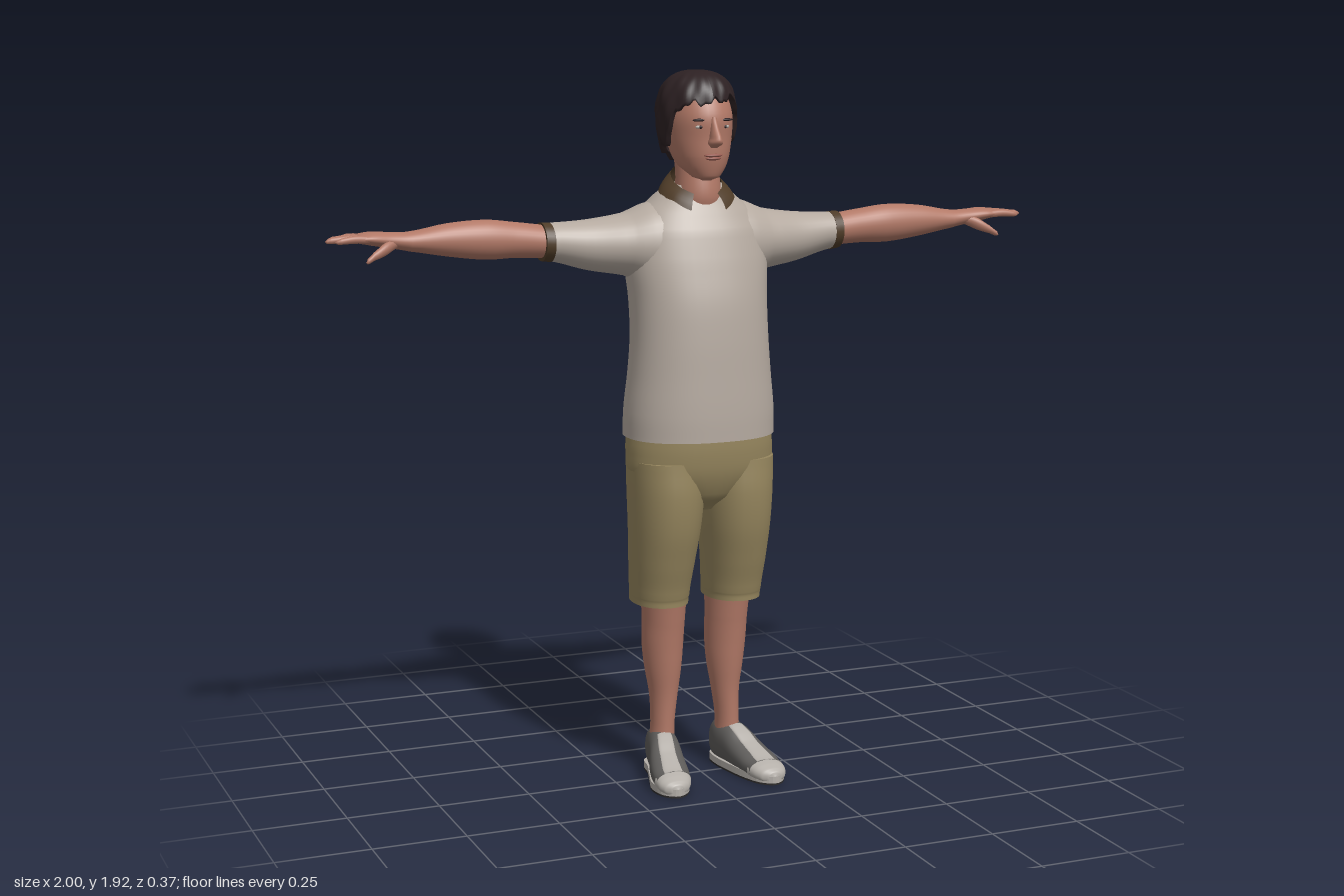
import * as THREE from 'three';

const mat = (name, color, side = THREE.FrontSide) => {
  const m = new THREE.MeshStandardMaterial({ color, side });
  m.name = name;
  return m;
};

// Smooth tube through rows [t, centreA, centreB, radiusA, radiusB] along an axis, with flat caps.
// Axis y: A = x, B = z.  Axis x: A = y, B = z.  Axis z: A = x, B = y.  Rows ascend in t.
function loft(axis, rows, power = 2, seg = 32, sub = 5) {
  const rings = [];
  const at = i => rows[Math.max(0, Math.min(rows.length - 1, i))];
  for (let i = 0; i < rows.length - 1; i++) {
    const last = i === rows.length - 2;
    for (let k = 0; k < sub + (last ? 1 : 0); k++) {
      const t = k / sub;
      rings.push(at(i).map((p1, c) => {
        const p0 = at(i - 1)[c], p2 = at(i + 1)[c], p3 = at(i + 2)[c];
        if (c === 0) return p1 + (p2 - p1) * t;
        return p1 + 0.5 * t * (p2 - p0 + t * (2 * p0 - 5 * p1 + 4 * p2 - p3 + t * (3 * (p1 - p2) + p3 - p0)));
      }));
    }
  }
  const pos = [], idx = [];
  const put = (t, a, b) => pos.push(...(axis === 'y' ? [a, t, b] : axis === 'x' ? [t, a, b] : [a, b, t]));
  const flip = axis === 'y' ? 1 : -1;
  const bend = v => Math.sign(v) * Math.abs(v) ** (2 / power);
  const ring = ([t, ca, cb, ra, rb]) => {
    for (let j = 0; j < seg; j++) {
      const q = j / seg * Math.PI * 2;
      put(t, ca + Math.max(ra, 0.001) * bend(Math.cos(q)), cb + flip * Math.max(rb, 0.001) * bend(Math.sin(q)));
    }
  };
  rings.forEach(ring);
  for (let i = 0; i < rings.length - 1; i++) for (let j = 0; j < seg; j++) {
    const a = i * seg + j, b = i * seg + (j + 1) % seg;
    idx.push(a, a + seg, b, a + seg, b + seg, b);
  }
  for (const [r, end] of [[rings[0], 0], [rings[rings.length - 1], 1]]) {
    const s = pos.length / 3;
    ring(r);
    put(r[0], r[1], r[2]);
    for (let j = 0; j < seg; j++) {
      const a = s + j, b = s + (j + 1) % seg;
      idx.push(...(end ? [s + seg, b, a] : [s + seg, a, b]));
    }
  }
  return surface(pos, idx);
}

function surface(pos, idx) {
  const g = new THREE.BufferGeometry();
  g.setAttribute('position', new THREE.Float32BufferAttribute(pos, 3));
  g.setIndex(idx);
  g.computeVertexNormals();
  return g;
}

// Grid of points f(u, v) -> [x, y, z]
function sheet(f, nu, nv) {
  const pos = [], idx = [];
  for (let i = 0; i <= nu; i++) for (let j = 0; j <= nv; j++) pos.push(...f(i / nu, j / nv));
  for (let i = 0; i < nu; i++) for (let j = 0; j < nv; j++) {
    const a = i * (nv + 1) + j, b = a + nv + 1;
    idx.push(a, b, a + 1, b, b + 1, a + 1);
  }
  return surface(pos, idx);
}

function mirrored(geo) {
  const g = geo.clone().scale(-1, 1, 1);
  const n = g.attributes.position.count;
  const idx = g.index ? Array.from(g.index.array) : Array.from({ length: n }, (_, i) => i);
  for (let i = 0; i < idx.length; i += 3) [idx[i], idx[i + 1]] = [idx[i + 1], idx[i]];
  g.setIndex(idx);
  return g;
}

const blob = (x, y, z, rx, ry, rz) => new THREE.SphereGeometry(1, 16, 10).scale(rx, ry, rz).translate(x, y, z);

export function createModel() {
  const skin = mat('skin', 0xb27967), hair = mat('hair', 0x2d2123, THREE.DoubleSide);
  const shirt = mat('shirt', 0xb5aaa0), trim = mat('brown trim', 0x4f3c28, THREE.DoubleSide);
  const shorts = mat('khaki', 0x96865e), shoe = mat('shoe grey', 0x5d5b59);
  const pale = mat('pale grey', 0xb4afa9), sole = mat('sole dark', 0x2e2c2c), lip = mat('lip', 0x96594f);

  const model = new THREE.Group();
  model.name = 'standingMan';
  const add = (name, geo, material) => {
    const m = new THREE.Mesh(geo, material);
    m.name = name;
    model.add(m);
  };
  const pair = (name, geo, material) => {
    add(name + 'Left', geo, material);
    add(name + 'Right', mirrored(geo), material);
  };

  // Shirt body, sleeves and cuffs
  add('shirtBody', loft('y', [
    [0.95, 0, -0.018, 0.206, 0.162], [1.02, 0, -0.016, 0.205, 0.16], [1.12, 0, -0.012, 0.195, 0.152],
    [1.22, 0, -0.012, 0.188, 0.147], [1.32, 0, -0.022, 0.188, 0.147], [1.42, 0, -0.037, 0.195, 0.14],
    [1.5, 0, -0.046, 0.185, 0.126], [1.55, 0, -0.05, 0.155, 0.104], [1.59, 0, -0.05, 0.11, 0.082],
    [1.62, 0, -0.048, 0.075, 0.066]], 2.25, 48), shirt);
  pair('sleeve', loft('x', [
    [0.06, 1.46, -0.052, 0.125, 0.115], [0.14, 1.462, -0.054, 0.109, 0.11], [0.2, 1.464, -0.058, 0.083, 0.096],
    [0.3, 1.466, -0.062, 0.067, 0.072], [0.41, 1.478, -0.062, 0.05, 0.056]]), shirt);
  pair('cuff', loft('x', [[0.403, 1.477, -0.062, 0.052, 0.058], [0.427, 1.479, -0.062, 0.051, 0.056]]), trim);

  // Folded collar, open at the front
  add('collar', sheet((u, v) => {
    const a = 0.5 + u * (Math.PI * 2 - 1), c = Math.cos(a), w = Math.sin(v * Math.PI) * 0.004;
    const tip = Math.max(0, c - 0.55) * 0.05;
    const rx = 0.068 + 0.034 * v + w, rz = 0.072 + 0.026 * v + w;
    return [Math.sin(a) * rx, (1.632 - 0.036 * c) * (1 - v) + (1.594 - 0.024 * c - tip) * v, -0.03 + c * rz];
  }, 48, 5), trim);

  // Forearms and hands
  pair('arm', loft('x', [
    [0.4, 1.479, -0.062, 0.043, 0.046], [0.5, 1.487, -0.062, 0.047, 0.046], [0.58, 1.491, -0.061, 0.052, 0.047],
    [0.68, 1.494, -0.064, 0.043, 0.043], [0.78, 1.494, -0.066, 0.026, 0.034], [0.83, 1.499, -0.067, 0.021, 0.034],
    [0.88, 1.505, -0.069, 0.018, 0.041], [0.915, 1.506, -0.071, 0.012, 0.04], [0.925, 1.506, -0.071, 0.006, 0.034]]), skin);
  [[-0.103, -0.11, 0.963], [-0.081, -0.085, 0.992], [-0.06, -0.062, 1], [-0.04, -0.036, 0.98]].forEach(([z0, z1, tip], i) => {
    pair('finger' + (i + 1), loft('x', [
      [0.89, 1.505, z0, 0.01, 0.01], [0.93, 1.507, z0 * 0.6 + z1 * 0.4, 0.01, 0.0095],
      [tip - 0.015, 1.504, z1, 0.008, 0.008], [tip - 0.004, 1.502, z1, 0.005, 0.005], [tip, 1.502, z1, 0.001, 0.001]], 2, 12, 3), skin);
  });
  pair('thumb', loft('x', [
    [0.815, 1.494, -0.052, 0.014, 0.014], [0.85, 1.481, -0.035, 0.017, 0.014], [0.885, 1.464, -0.022, 0.011, 0.01],
    [0.903, 1.453, -0.015, 0.007, 0.007], [0.908, 1.45, -0.013, 0.001, 0.001]], 2, 12, 4), skin);

  // Shorts
  add('shortsSeat', loft('y', [
    [0.75, 0, -0.01, 0.03, 0.06], [0.79, 0, -0.01, 0.12, 0.105], [0.85, 0, -0.01, 0.194, 0.132],
    [0.91, 0, -0.013, 0.203, 0.145], [0.97, 0, -0.015, 0.198, 0.148]], 2.2, 40), shorts);
  pair('shortsLeg', loft('y', [
    [0.487, 0.106, -0.045, 0.075, 0.1], [0.51, 0.106, -0.042, 0.077, 0.101], [0.6, 0.105, -0.027, 0.084, 0.111],
    [0.7, 0.102, -0.013, 0.092, 0.123], [0.8, 0.1, -0.009, 0.098, 0.13], [0.89, 0.1, -0.01, 0.1, 0.127]], 2.2), shorts);

  // Lower legs
  pair('leg', loft('y', [
    [0.08, 0.098, -0.045, 0.034, 0.043], [0.14, 0.096, -0.045, 0.032, 0.042], [0.22, 0.092, -0.048, 0.038, 0.048],
    [0.3, 0.092, -0.052, 0.05, 0.061], [0.37, 0.093, -0.051, 0.056, 0.067], [0.44, 0.093, -0.043, 0.058, 0.068],
    [0.55, 0.095, -0.035, 0.065, 0.075]]), skin);

  // Shoes: upper, toe cap, tongue and two-layer sole
  pair('shoeUpper', loft('z', [
    [-0.105, 0.096, 0.058, 0.014, 0.032], [-0.095, 0.096, 0.06, 0.032, 0.054], [-0.05, 0.099, 0.062, 0.042, 0.064],
    [0, 0.108, 0.06, 0.046, 0.059], [0.05, 0.12, 0.046, 0.051, 0.045], [0.1, 0.13, 0.036, 0.053, 0.034],
    [0.14, 0.136, 0.03, 0.05, 0.028]], 2.4), shoe);
  pair('toeCap', loft('z', [
    [0.128, 0.135, 0.03, 0.052, 0.03], [0.155, 0.139, 0.026, 0.047, 0.026], [0.175, 0.141, 0.022, 0.036, 0.021],
    [0.186, 0.142, 0.02, 0.02, 0.015], [0.19, 0.142, 0.02, 0.004, 0.004]], 2.2), pale);
  pair('shoeTongue', loft('z', [
    [-0.005, 0.107, 0.112, 0.022, 0.01], [0.03, 0.115, 0.099, 0.023, 0.007], [0.06, 0.122, 0.08, 0.024, 0.008],
    [0.1, 0.13, 0.063, 0.027, 0.009], [0.14, 0.136, 0.05, 0.03, 0.009]], 2.5, 20), pale);
  const outline = [[0.098, -0.108], [0.135, -0.085], [0.146, -0.03], [0.168, 0.04], [0.187, 0.11], [0.175, 0.17],
    [0.142, 0.193], [0.106, 0.17], [0.081, 0.11], [0.066, 0.04], [0.056, -0.03], [0.062, -0.085]];
  const curve = new THREE.CatmullRomCurve3(outline.map(([x, z]) => new THREE.Vector3(x, -z, 0)), true);
  const shape = new THREE.Shape(curve.getPoints(48).slice(0, -1).map(p => new THREE.Vector2(p.x, p.y)));
  const slab = (y, h) => new THREE.ExtrudeGeometry(shape, { depth: h, bevelEnabled: false }).rotateX(-Math.PI / 2).translate(0, y, 0);
  pair('shoeRim', slab(0.005, 0.019), pale);
  pair('shoeSole', slab(0, 0.005), sole);

  // Neck and head
  add('neck', loft('y', [
    [1.54, 0, -0.025, 0.06, 0.06], [1.59, 0, -0.02, 0.061, 0.066], [1.65, 0, -0.024, 0.058, 0.062],
    [1.73, 0, -0.04, 0.06, 0.066]]), skin);
  add('head', loft('y', [
    [1.634, 0, 0.04, 0.012, 0.014], [1.643, 0, 0.034, 0.036, 0.04], [1.67, 0, 0.008, 0.06, 0.076],
    [1.7, 0, -0.005, 0.073, 0.095], [1.745, 0, -0.018, 0.083, 0.109], [1.8, 0, -0.025, 0.087, 0.118],
    [1.85, 0, -0.032, 0.077, 0.106], [1.885, 0, -0.035, 0.052, 0.075], [1.9, 0, -0.035, 0.01, 0.015]], 2.1, 40), skin);
  add('nose', loft('y', [
    [1.722, 0, 0.09, 0.008, 0.012], [1.733, 0, 0.1, 0.018, 0.026], [1.747, 0, 0.1, 0.014, 0.029],
    [1.775, 0, 0.091, 0.01, 0.019], [1.802, 0, 0.084, 0.009, 0.012]], 2, 20), skin);
  add('upperLip', blob(0, 1.702, 0.087, 0.026, 0.005, 0.009), lip);
  add('lowerLip', blob(0, 1.694, 0.086, 0.022, 0.005, 0.009), lip);
  add('chin', blob(0, 1.656, 0.055, 0.026, 0.017, 0.022), skin);
  pair('eye', blob(0.034, 1.776, 0.079, 0.014, 0.005, 0.007), pale);
  pair('iris', blob(0.034, 1.776, 0.083, 0.005, 0.005, 0.005), hair);
  pair('brow', blob(0.036, 1.794, 0.082, 0.021, 0.004, 0.008).rotateZ(0), hair);
  pair('ear', blob(0.089, 1.752, -0.022, 0.01, 0.028, 0.018), skin);

  // Hair: a domed shell with an uneven hem, high over the face and low at the nape
  add('hair', sheet((u, v) => {
    const a = u * Math.PI * 2, c = Math.cos(a), s = Math.sin(a);
    const rise = THREE.MathUtils.smoothstep(c, 0.12, 0.72);
    const jag = 0.007 * Math.sin(11 * a + 1) + 0.005 * Math.sin(23 * a);
    const hem = 1.732 + (c > 0 ? 0.108 * rise : 0.052 * c) + jag + 0.012 * s * rise;
    const k = Math.min(1, v / 0.94), tuck = v > 0.95 ? 0.84 : 1;
    const y = 1.92 - (1.92 - hem) * (1 - Math.cos(k * Math.PI / 2));
    const t = (y - 1.79) / 0.13;
    const r = (t > 0 ? (1 - Math.min(1, t) ** 2.6) ** (1 / 2.6) : 1 - 0.36 * t * t) * tuck
      * (1 + 0.018 * Math.sin(9 * a + 45 * y) + 0.01 * Math.sin(17 * a - 60 * y));
    return [s * 0.106 * r, y, -0.031 + c * 0.122 * r];
  }, 96, 18).scale(1, 1, 1), hair);

  return model;
}
